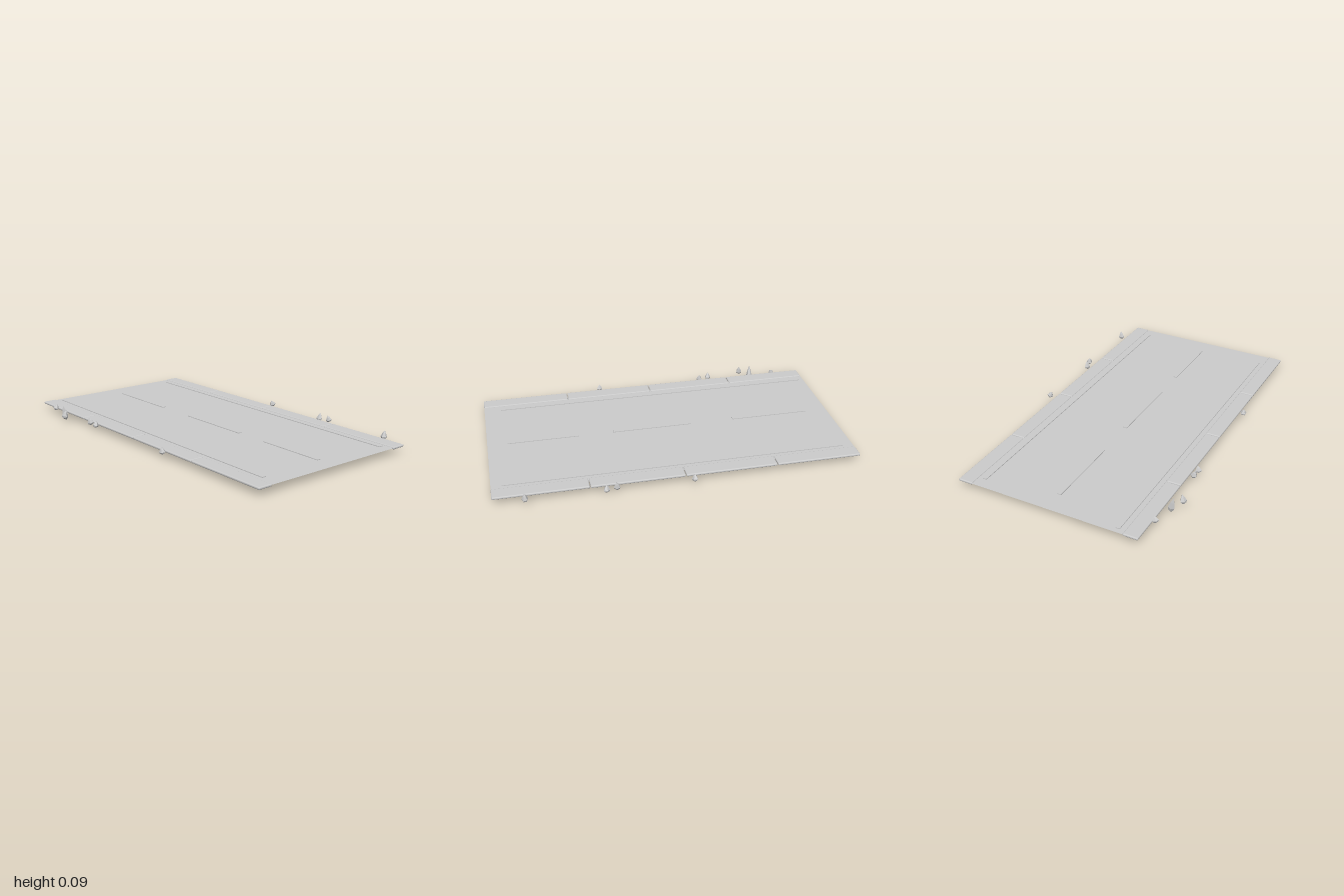
import * as THREE from 'three';
import { RoundedBoxGeometry } from 'three/addons/geometries/RoundedBoxGeometry.js';

export function createModel() {
  const group = new THREE.Group();
  const smooth = new THREE.MeshStandardMaterial({ color: 0xcccccc });
  const sheet = new THREE.MeshStandardMaterial({ color: 0xcccccc, side: THREE.DoubleSide });
  const faceted = new THREE.MeshStandardMaterial({ color: 0xcccccc, flatShading: true });

  const add = (name, geometry, material, x, y, z) => {
    const mesh = new THREE.Mesh(geometry, material);
    mesh.name = name;
    mesh.position.set(x, y, z);
    group.add(mesh);
    return mesh;
  };

  // Thin road sheet, its long edges tucked into the kerbs
  add('roadSurface', new THREE.PlaneGeometry(1.995, 0.93).rotateX(-Math.PI / 2), sheet, 0, 0.048, -0.012);

  // Edge lines and centre dashes: [name, x start, x end, z]
  const markings = [
    ['backEdgeLine', -0.935, 0.94, -0.414],
    ['frontEdgeLine', -0.97, 0.9, 0.385],
    ['centreDash', -0.87, -0.42, -0.004],
    ['centreDash', -0.17, 0.285, -0.004],
    ['centreDash', 0.485, 0.885, -0.004],
  ];
  for (const [name, x0, x1, z] of markings) {
    add(name, new THREE.BoxGeometry(x1 - x0, 0.004, 0.023), smooth, (x0 + x1) / 2, 0.05, z);
  }

  // Rounded kerb stones, four on each side with narrow joints
  const joints = [-1, -0.525, -0.018, 0.492, 1];
  for (const [name, z] of [['frontKerb', 0.466], ['backKerb', -0.49]]) {
    for (let i = 0; i < 4; i++) {
      const length = joints[i + 1] - joints[i] - 0.004;
      add(name, new RoundedBoxGeometry(length, 0.014, 0.082, 3, 0.006), smooth,
        (joints[i] + joints[i + 1]) / 2, 0.046, z);
    }
  }

  // Pointed grass shards beside the road: [x, z, bottom, top, lean, turn]
  const shards = [
    [-0.83, 0.515, 0.034, 0.072, -0.35, 0.3],
    [-0.69, 0.538, 0.005, 0.097, 0.15, 1.1],
    [-0.63, 0.57, 0.03, 0.086, -0.2, 0.5],
    [-0.412, 0.532, 0.035, 0.082, 0.2, 0.9],
    [-0.355, 0.53, 0.032, 0.075, -0.2, 0.2],
    [0.285, 0.53, 0.035, 0.075, 0.1, 0.6],
    [-0.055, -0.57, 0.034, 0.075, 0.3, 1.3],
    [0.358, -0.56, 0.03, 0.084, -0.15, 0.4],
    [0.414, -0.575, 0.035, 0.079, 0.2, 0.8],
    [0.832, -0.569, 0.03, 0.085, -0.1, 0.1],
  ];
  for (const [x, z, bottom, top, lean, turn] of shards) {
    const h = top - bottom;
    const profile = [[0, -h / 2], [0.014, -h * 0.34], [0.018, -h * 0.15], [0.01, h * 0.2], [0, h / 2]]
      .map(([r, y]) => new THREE.Vector2(r, y));
    const shard = add('grassShard', new THREE.LatheGeometry(profile, 5), faceted, x, (bottom + top) / 2, z);
    shard.rotation.set(lean, turn, lean * 0.4);
  }

  return group;
}
